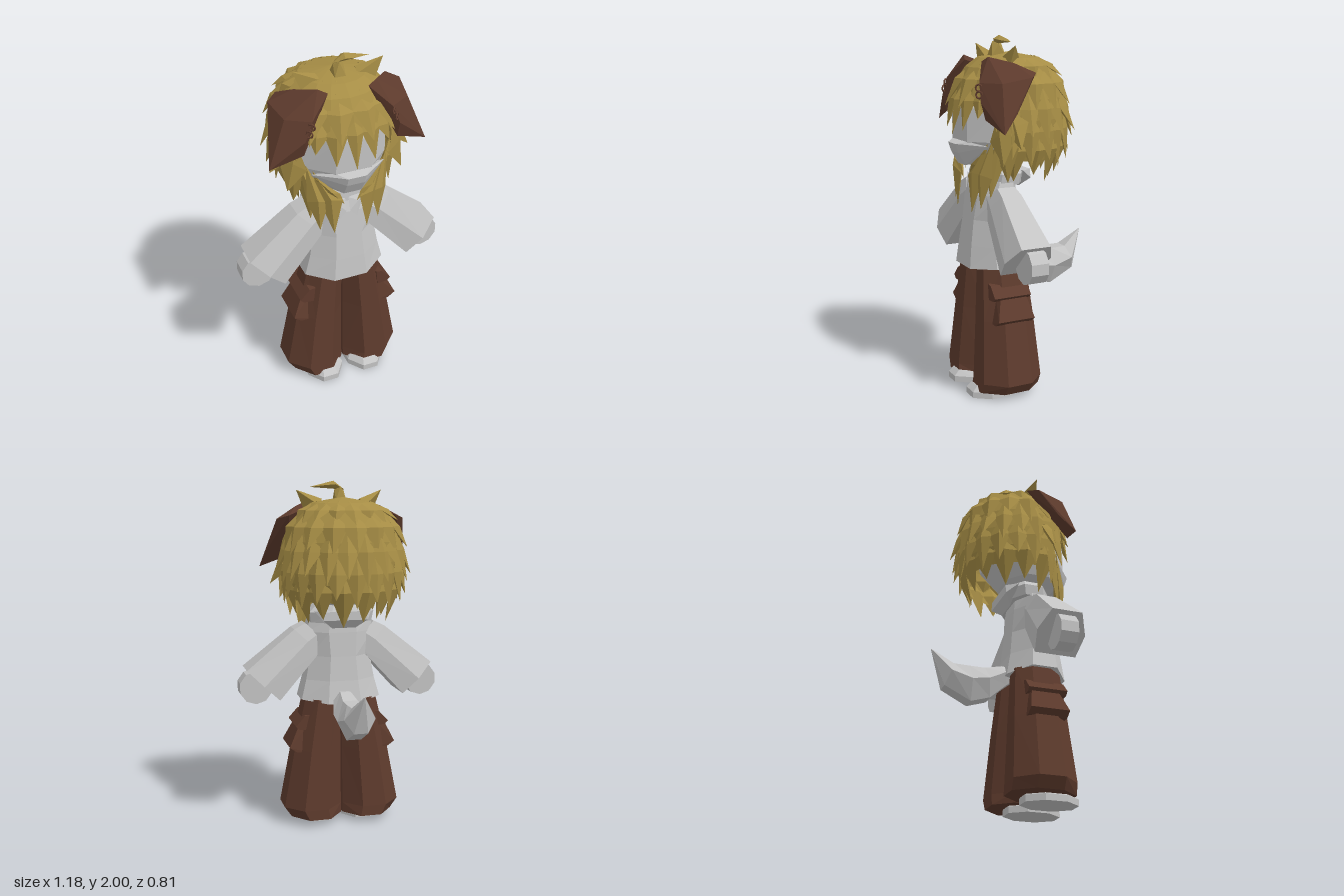
import * as THREE from 'three';
import { ConvexGeometry } from 'three/addons/geometries/ConvexGeometry.js';

function makeMaterial(name, color, side = THREE.FrontSide) {
  const m = new THREE.MeshStandardMaterial({ color, side });
  m.name = name;
  return m;
}

// Faceted solid around a few corner points
const hull = (pts) => new ConvexGeometry(pts.map((p) => new THREE.Vector3(...p)));

// Faceted version of a smooth geometry
function faceted(geo) {
  const g = geo.index ? geo.toNonIndexed() : geo;
  g.computeVertexNormals();
  return g;
}

// Swap corner order of every triangle
function flip(geo) {
  const p = geo.attributes.position;
  const a = new THREE.Vector3(), b = new THREE.Vector3();
  for (let i = 0; i < p.count; i += 3) {
    a.fromBufferAttribute(p, i + 1);
    b.fromBufferAttribute(p, i + 2);
    p.setXYZ(i + 1, b.x, b.y, b.z);
    p.setXYZ(i + 2, a.x, a.y, a.z);
  }
  geo.computeVertexNormals();
  return geo;
}

const mirror = (geo) => flip(faceted(geo.clone()).scale(-1, 1, 1));

// Closed faceted skin over equal-length rings of points, facing outward
function loft(rings) {
  const pos = [], n = rings[0].length;
  const tri = (a, b, c) => pos.push(...a, ...b, ...c);
  const mid = (r) => [0, 1, 2].map((k) => r.reduce((s, p) => s + p[k], 0) / n);
  const lo = mid(rings[0]), hi = mid(rings.at(-1));
  for (let j = 0; j < n; j++) {
    const k = (j + 1) % n;
    for (let i = 0; i < rings.length - 1; i++) {
      const [r, s] = [rings[i], rings[i + 1]];
      tri(r[j], r[k], s[k]);
      tri(r[j], s[k], s[j]);
    }
    tri(lo, rings[0][k], rings[0][j]);
    tri(hi, rings.at(-1)[j], rings.at(-1)[k]);
  }
  const g = new THREE.BufferGeometry();
  g.setAttribute('position', new THREE.Float32BufferAttribute(pos, 3));
  let volume = 0;
  const v = [0, 1, 2].map(() => new THREE.Vector3());
  for (let i = 0; i < pos.length; i += 9) {
    v.forEach((q, k) => q.fromArray(pos, i + k * 3));
    volume += v[0].dot(v[1].clone().cross(v[2]));
  }
  g.computeVertexNormals();
  return volume < 0 ? flip(g) : g;
}

// Unit octagon with flat sides at +-1
const OCT = Array.from({ length: 8 }, (_, i) => {
  const a = (i + 0.5) * Math.PI / 4, r = 1 / Math.cos(Math.PI / 8);
  return [Math.sin(a) * r, Math.cos(a) * r];
});
// Horizontal octagon; rise lifts the sides
const ring = (y, rx, z0, z1, cx = 0, rise = 0) =>
  OCT.map(([u, v]) => [cx + u * rx, y + rise * Math.abs(u), (z0 + z1) / 2 + v * (z1 - z0) / 2]);

export function createModel() {
  const root = new THREE.Group();
  root.name = 'dogEaredCharacter';
  const grey = makeMaterial('light grey', 0xc4c4c4);
  const hair = makeMaterial('golden hair', 0xa68d45, THREE.DoubleSide);
  const brown = makeMaterial('brown', 0x5e3b2d);

  const add = (name, geo, mat, parent = root) => {
    const m = new THREE.Mesh(geo, mat);
    m.name = name;
    parent.add(m);
    return m;
  };
  const pair = (name, geo, mat, parent = root) => {
    add(name + 'Left', geo, mat, parent);
    add(name + 'Right', mirror(geo), mat, parent);
  };

  // Shoes and wide trousers
  pair('shoe', loft([ring(0, 0.11, 0.07, 0.37, 0.13), ring(0.035, 0.11, 0.07, 0.37, 0.13),
    ring(0.065, 0.09, 0.08, 0.34, 0.13)]), grey);
  pair('trouserLeg', loft([ring(0.04, 0.15, -0.02, 0.34, 0.155), ring(0.1, 0.171, -0.02, 0.335, 0.176),
    ring(0.45, 0.138, 0.005, 0.31, 0.143), ring(0.75, 0.104, 0.03, 0.29, 0.108)]), brown);
  add('trouserHips', hull([-1, 1].flatMap((s) => [[s * 0.04, 0.74, 0.07], [s * 0.04, 0.74, 0.25],
    [s * 0.02, 0.57, 0.12], [s * 0.02, 0.57, 0.2]])), brown);
  pair('pocketPouch', hull([0, 1].flatMap((k) => [[0.2, 0.6, 0.08 + k * 0.16], [0.265, 0.58, 0.08 + k * 0.16],
    [0.318, 0.47, 0.055 + k * 0.22], [0.275, 0.44, 0.055 + k * 0.22], [0.22, 0.44, 0.055 + k * 0.22]])), brown);
  pair('pocketFlap', hull([0.06, 0.28].flatMap((z) => [[0.19, 0.66, z], [0.225, 0.655, z],
    [0.28, 0.595, z], [0.26, 0.575, z], [0.2, 0.57, z]])), brown);

  // Shirt, collar and neck
  add('shirt', loft([ring(0.72, 0.235, 0, 0.345, 0, 0.025), ring(0.86, 0.205, 0.025, 0.33),
    ring(1.0, 0.18, 0.04, 0.31), ring(1.14, 0.2, 0.05, 0.29), ring(1.22, 0.18, 0.06, 0.26)]), grey);
  add('collar', loft([ring(1.2, 0.18, 0.01, 0.27), ring(1.26, 0.19, 0, 0.265),
    ring(1.31, 0.14, 0.03, 0.25)]), grey);
  add('collarBack', hull([-1, 1].flatMap((s) => [[s * 0.17, 1.27, 0.05], [s * 0.12, 1.27, -0.015],
    [s * 0.13, 1.22, -0.015], [s * 0.07, 1.17, 0.03]])), grey);
  pair('collarPoint', hull([[0.01, 1.22, 0.27], [0.11, 1.24, 0.26], [0.05, 1.11, 0.3],
    [0.01, 1.15, 0.295], [0.06, 1.2, 0.29], [0.06, 1.18, 0.25]]), grey);

  // Flared six-sided sleeves, narrow on top, and hands
  const sleeveRing = (x, y, r, rz) => [[1, 0.62], [0, 1], [-1, 0.85], [-1, -0.85], [0, -1], [1, -0.62]]
    .map(([u, v]) => [x + 0.72 * u * r, y + 0.69 * u * r, 0.175 + v * rz]);
  pair('sleeve', loft([sleeveRing(0.14, 1.13, 0.09, 0.085), sleeveRing(0.2, 1.09, 0.1, 0.095),
    sleeveRing(0.463, 0.845, 0.128, 0.137)]), grey);
  pair('hand', faceted(new THREE.CylinderGeometry(0.097, 0.097, 0.1, 10).rotateX(Math.PI / 2)
    .translate(0.5, 0.826, 0.17)), grey);

  // Upturned tail: each section runs from an upper to a lower point
  const tailRing = ([zu, yu, zl, yl, h]) => [[0.45, 0], [1, 0.45], [0.45, 1], [-0.45, 1], [-1, 0.45], [-0.45, 0]]
    .map(([u, t]) => [u * h, yu + (yl - yu) * t, zu + (zl - zu) * t]);
  add('tail', loft([[0.05, 0.8, 0.06, 0.72, 0.05], [-0.01, 0.8, 0.02, 0.69, 0.07],
    [-0.11, 0.772, -0.08, 0.6, 0.095], [-0.2, 0.772, -0.19, 0.565, 0.097],
    [-0.29, 0.775, -0.34, 0.64, 0.09], [-0.41, 0.862, -0.412, 0.858, 0.002]].map(tailRing)), grey);

  // Head and muzzle
  add('head', loft([ring(1.28, 0.12, 0.05, 0.26), ring(1.33, 0.19, 0, 0.32), ring(1.44, 0.24, -0.1, 0.355),
    ring(1.62, 0.24, -0.12, 0.355), ring(1.76, 0.17, -0.06, 0.27)]), grey);
  add('muzzle', hull([-1, 1].flatMap((s) => [[s * 0.21, 1.42, 0.28], [s * 0.1, 1.44, 0.35], [s * 0.05, 1.425, 0.402],
    [s * 0.05, 1.375, 0.385], [s * 0.18, 1.37, 0.26], [s * 0.1, 1.32, 0.3], [s * 0.05, 1.305, 0.345]])), grey);

  // Hair cap, open in front of the face; angles run from the front
  const hairGroup = new THREE.Group();
  hairGroup.name = 'hair';
  root.add(hairGroup);
  const capR = (y) => 0.33 * (1 - Math.min(1, Math.abs(y - 1.56) / 0.35) ** 2.6) ** 0.385;
  const cap = (ys, segments, start, length) => faceted(new THREE.LatheGeometry(
    ys.map((y) => new THREE.Vector2(capR(y), y)), segments, start, length).scale(1, 1, 0.93).translate(0, 0, 0.06));
  add('hairCrown', cap([1.67, 1.76, 1.83, 1.88, 1.91], 16, 0, Math.PI * 2), hair, hairGroup);
  add('hairBack', cap([1.34, 1.44, 1.56, 1.67], 12, 0.95, Math.PI * 2 - 1.9), hair, hairGroup);

  // A pointed lock lying on the cap
  const polar = (a, r, y) => [Math.sin(a) * r, y, 0.06 + Math.cos(a) * r * 0.93];
  const lock = (name, a, w, yRoot, yMid, yTip, rTip) => {
    const r = capR(yMid);
    add(name, hull([polar(a, capR(yRoot) - 0.005, yRoot), polar(a - w, r, yMid), polar(a + w, r, yMid),
      polar(a, r + 0.025, yMid), polar(a, r - 0.04, yMid), polar(a, rTip, yTip)]), hair, hairGroup);
  };

  // Overlapping tiers round the sides and back: count, root, middle, tip, tip radius
  [[9, 1.89, 1.84, 1.75, 0.305], [11, 1.84, 1.75, 1.6, 0.355], [14, 1.74, 1.62, 1.46, 0.385],
    [13, 1.6, 1.5, 1.33, 0.345], [10, 1.48, 1.4, 1.23, 0.26]].forEach(([n, yRoot, yMid, yTip, rTip], t) => {
    const start = t ? 0.98 : 1.5, span = 2 * (Math.PI - start);
    for (let i = 0; i < n; i++) {
      const vary = ((i * 7 + t * 3) % 5 - 2) * 0.016;
      lock('hairLock', start + span * (i + 0.5) / n, 0.6 * span / n, yRoot, yMid, yTip + vary, rTip + vary * 0.5);
    }
  });

  // Fringe
  [[0, 1.47, 0.15], [0.3, 1.5, 0.19], [0.6, 1.57, 0.18], [0.9, 1.51, 0.2]].forEach(([a, tip, w]) => {
    for (const s of a ? [1, -1] : [1]) lock('fringe', s * a, w, 1.85, 1.66, tip, 0.365);
  });
  for (const a of [-0.68, -0.24, 0.24, 0.68]) lock('upperFringe', a, 0.25, 1.89, 1.77, 1.62, 0.378);

  // Long locks framing the face: root, two shoulders, tip
  [[[0.2, 1.44, 0.28], [0.17, 1.26, 0.29], [0.05, 1.25, 0.33], [0.095, 1.05, 0.33]],
    [[0.23, 1.47, 0.26], [0.23, 1.25, 0.27], [0.12, 1.25, 0.31], [0.17, 1.08, 0.31]],
    [[0.19, 1.4, 0.29], [0.15, 1.31, 0.3], [0.06, 1.29, 0.32], [0.035, 1.22, 0.32]],
    [[0.26, 1.48, 0.23], [0.25, 1.3, 0.22], [0.16, 1.32, 0.28], [0.21, 1.14, 0.27]],
    [[0.29, 1.56, 0.2], [0.33, 1.42, 0.16], [0.22, 1.39, 0.25], [0.28, 1.23, 0.2]],
    [[0.28, 1.62, 0.25], [0.35, 1.5, 0.18], [0.23, 1.45, 0.28], [0.33, 1.33, 0.25]],
    [[0.3, 1.62, 0.2], [0.36, 1.56, 0.12], [0.31, 1.48, 0.2], [0.4, 1.42, 0.18]]].forEach(([u, l, r, t]) => {
    const m = [(l[0] + r[0]) / 2, (l[1] + r[1]) / 2 + 0.02, (l[2] + r[2]) / 2];
    pair('faceLock', hull([u, l, r, t, [m[0] + 0.01, m[1], m[2] + 0.03], [m[0], m[1], m[2] - 0.02]]), hair, hairGroup);
  });

  // Crown tufts and curled strand
  pair('crownTuft', hull([[0.1, 1.88, 0.15], [0.13, 1.86, 0.05], [0.11, 1.9, 0.1], [0.2, 1.83, 0.15],
    [0.25, 1.95, 0.14]]), hair, hairGroup);
  add('strandStem', hull([[-0.03, 1.89, 0.17], [0.03, 1.89, 0.17], [0.03, 1.89, 0.09], [-0.03, 1.89, 0.09],
    [-0.025, 1.945, 0.13], [0, 1.965, 0.155], [0, 1.965, 0.105], [0.03, 1.95, 0.13]]), hair, hairGroup);
  add('strandLeaf', hull([[-0.03, 1.95, 0.13], [0.035, 2, 0.13], [0.03, 1.98, 0.163], [0.03, 1.98, 0.097],
    [0.09, 1.975, 0.16], [0.09, 1.975, 0.1], [0.06, 1.962, 0.13], [0.175, 1.965, 0.13]]), hair, hairGroup);

  // Drooping ears with small rings
  pair('ear', hull([[0.11, 1.865, 0.27], [0.16, 1.89, 0.255], [0.25, 1.86, 0.15], [0.31, 1.81, 0.05],
    [0.37, 1.79, 0.1], [0.22, 1.76, 0.335], [0.26, 1.66, 0.345], [0.26, 1.57, 0.32],
    [0.34, 1.76, 0.26], [0.44, 1.51, 0.295], [0.41, 1.61, 0.21]]), brown);
  for (const [x, y, z] of [[0.225, 1.735, 0.34], [0.24, 1.7, 0.345]])
    pair('earRing', faceted(new THREE.TorusGeometry(0.018, 0.005, 4, 8).rotateY(0.8).translate(x, y, z)), brown);

  return root;
}
